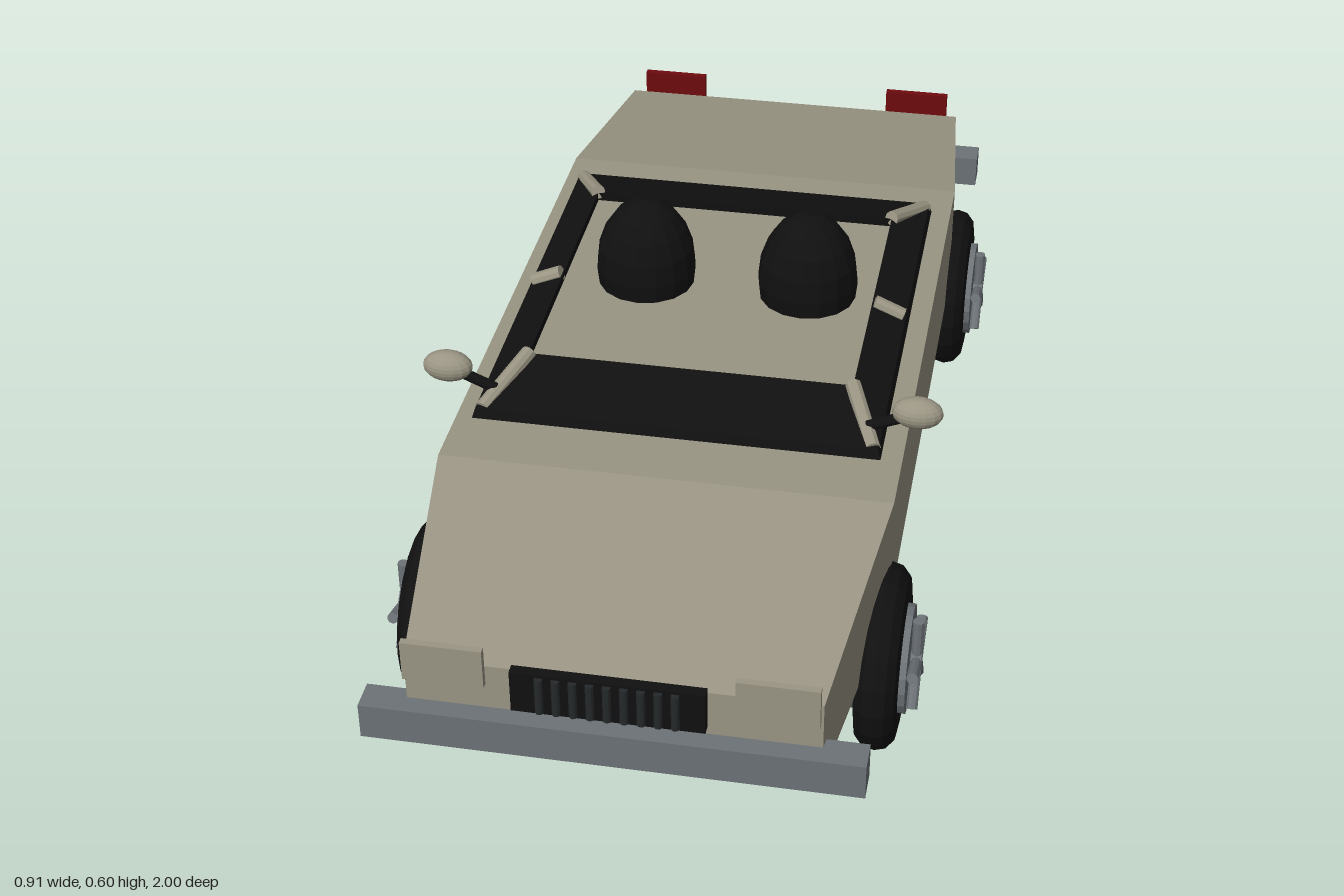
import * as THREE from 'three';

const mat = (name, color, extra = {}) => {
  const m = new THREE.MeshStandardMaterial({ color, ...extra });
  m.name = name;
  return m;
};

export function createModel() {
  const paint = mat('beige paint', 0x9a9583, { flatShading: true });
  const black = mat('black trim', 0x101010, { flatShading: true });
  const steel = mat('grey metal', 0x6c7276, { flatShading: true });
  const slatGrey = mat('dark grey slats', 0x25282a, { flatShading: true });
  const red = mat('red lamp', 0x6e0b0e, { flatShading: true });

  const car = new THREE.Group();
  car.name = 'convertible';

  const add = (name, geometry, material, pos = [0, 0, 0], parent = car) => {
    const mesh = new THREE.Mesh(geometry, material);
    mesh.name = name;
    mesh.position.set(...pos);
    parent.add(mesh);
    return mesh;
  };

  const box = (name, material, x, y, z) => add(name,
    new THREE.BoxGeometry(x[1] - x[0], y[1] - y[0], z[1] - z[0]), material,
    [(x[0] + x[1]) / 2, (y[0] + y[1]) / 2, (z[0] + z[1]) / 2]);

  const rod = (name, a, b, radius, material, parent = car) => {
    const from = new THREE.Vector3(...a), to = new THREE.Vector3(...b);
    const dir = to.clone().sub(from);
    const mesh = add(name, new THREE.CylinderGeometry(radius, radius, dir.length(), 10), material,
      from.add(to).multiplyScalar(0.5).toArray(), parent);
    mesh.quaternion.setFromUnitVectors(new THREE.Vector3(0, 1, 0), dir.normalize());
    return mesh;
  };

  // Joins four-cornered sections, either capped at the ends or closed into a loop
  const loft = (rings, closed) => {
    const v = [];
    const tri = (...p) => p.forEach((q) => v.push(...q));
    const n = rings.length;
    for (let i = 0; i < (closed ? n : n - 1); i++) {
      const r = rings[i], s = rings[(i + 1) % n];
      for (let j = 0; j < 4; j++) {
        const k = (j + 1) % 4;
        tri(r[j], s[j], s[k]);
        tri(r[j], s[k], r[k]);
      }
    }
    if (!closed) {
      const f = rings[0], b = rings[n - 1];
      tri(f[0], f[1], f[2]);
      tri(f[0], f[2], f[3]);
      tri(b[0], b[2], b[1]);
      tri(b[0], b[3], b[2]);
    }
    const g = new THREE.BufferGeometry();
    g.setAttribute('position', new THREE.Float32BufferAttribute(v, 3));
    g.computeVertexNormals();
    return g;
  };

  // Wedge body: z, half width, top height
  const stations = [[0.955, 0.335, 0.36], [0.53, 0.39, 0.44], [-0.53, 0.39, 0.43], [-0.955, 0.355, 0.37]];
  add('body', loft(stations.map(([z, w, t]) =>
    [[-w, 0.21, z], [w, 0.21, z], [w, t, z], [-w, t, z]]), false), paint);
  box('chassis', black, [-0.328, 0.328], [0.17, 0.212], [-0.89, 0.885]);

  // Bumpers
  box('frontBumper', steel, [-0.407, 0.407], [0.21, 0.275], [0.935, 0.988]);
  box('rearBumper', steel, [-0.407, 0.407], [0.21, 0.275], [-1, -0.945]);

  // Grille with upright slats
  box('grille', black, [-0.155, 0.155], [0.305, 0.383], [0.97, 0.988]);
  for (let i = -4; i <= 4; i++) {
    rod('grilleSlat', [i * 0.027, 0.31, 0.99], [i * 0.027, 0.378, 0.99], 0.007, slatGrey);
  }

  // Sloping window band round the cockpit
  const section = [[0.355, 0.455, 0.435, -0.4], [0.35, 0.472, 0.43, -0.4],
    [0.288, 0.498, 0.285, -0.285], [0.288, 0.482, 0.285, -0.285]];
  add('windowBand', loft([[1, 1], [1, -1], [-1, -1], [-1, 1]].map(([sx, sz]) =>
    section.map(([x, y, zf, zr]) => [sx * x, y, sz > 0 ? zf : zr])), true), black);

  for (const s of [1, -1]) {
    const side = (lo, hi) => (s > 0 ? [lo, hi] : [-hi, -lo]);
    box('headlight', paint, side(0.2, 0.332), [0.334, 0.408], [0.966, 0.978]);
    box('tailLight', red, side(0.2, 0.332), [0.334, 0.408], [-0.985, -0.971]);

    // Window pillars
    rod('frontPillar', [s * 0.34, 0.466, 0.42], [s * 0.288, 0.5, 0.285], 0.014, paint);
    rod('middlePillar', [s * 0.345, 0.476, 0.015], [s * 0.292, 0.499, 0.015], 0.014, paint);
    rod('rearPillar', [s * 0.342, 0.466, -0.395], [s * 0.288, 0.5, -0.285], 0.014, paint);

    // Wing mirrors
    add('mirror', new THREE.SphereGeometry(1, 16, 12), paint, [s * 0.409, 0.52, 0.378])
      .scale.set(0.044, 0.028, 0.028);
    rod('mirrorStalk', [s * 0.385, 0.508, 0.378], [s * 0.325, 0.482, 0.378], 0.01, black);

    // Domed seat backs
    add('seat', new THREE.SphereGeometry(1, 16, 10), black, [s * 0.154, 0.468, -0.095])
      .scale.set(0.094, 0.137, 0.094);

    // Wheels
    for (const z of [0.595, -0.595]) {
      const wheel = new THREE.Group();
      wheel.name = z > 0 ? 'frontWheel' : 'rearWheel';
      wheel.position.set(s * 0.39, 0.164, z);
      wheel.rotation.y = s > 0 ? 0 : Math.PI;
      car.add(wheel);
      const profile = [[0.085, -0.03], [0.115, -0.037], [0.14, -0.033], [0.156, -0.019], [0.161, 0],
        [0.156, 0.019], [0.14, 0.033], [0.115, 0.037], [0.085, 0.03]];
      const tyre = new THREE.LatheGeometry(profile.map((p) => new THREE.Vector2(...p)), 20);
      add('tyre', tyre.rotateZ(-Math.PI / 2), black, [0, 0, 0], wheel);
      add('hub', new THREE.CylinderGeometry(0.094, 0.094, 0.094, 20).rotateZ(Math.PI / 2),
        steel, [0, 0, 0], wheel);
      for (let i = 0; i < 5; i++) {
        const a = i * Math.PI * 2 / 5;
        rod('spoke', [0.057, 0, 0], [0.057, 0.084 * Math.cos(a), 0.084 * Math.sin(a)], 0.01, steel, wheel);
      }
      add('wheelCap', new THREE.CylinderGeometry(0.018, 0.018, 0.02, 12).rotateZ(Math.PI / 2),
        steel, [0.056, 0, 0], wheel);
    }
  }
  return car;
}
